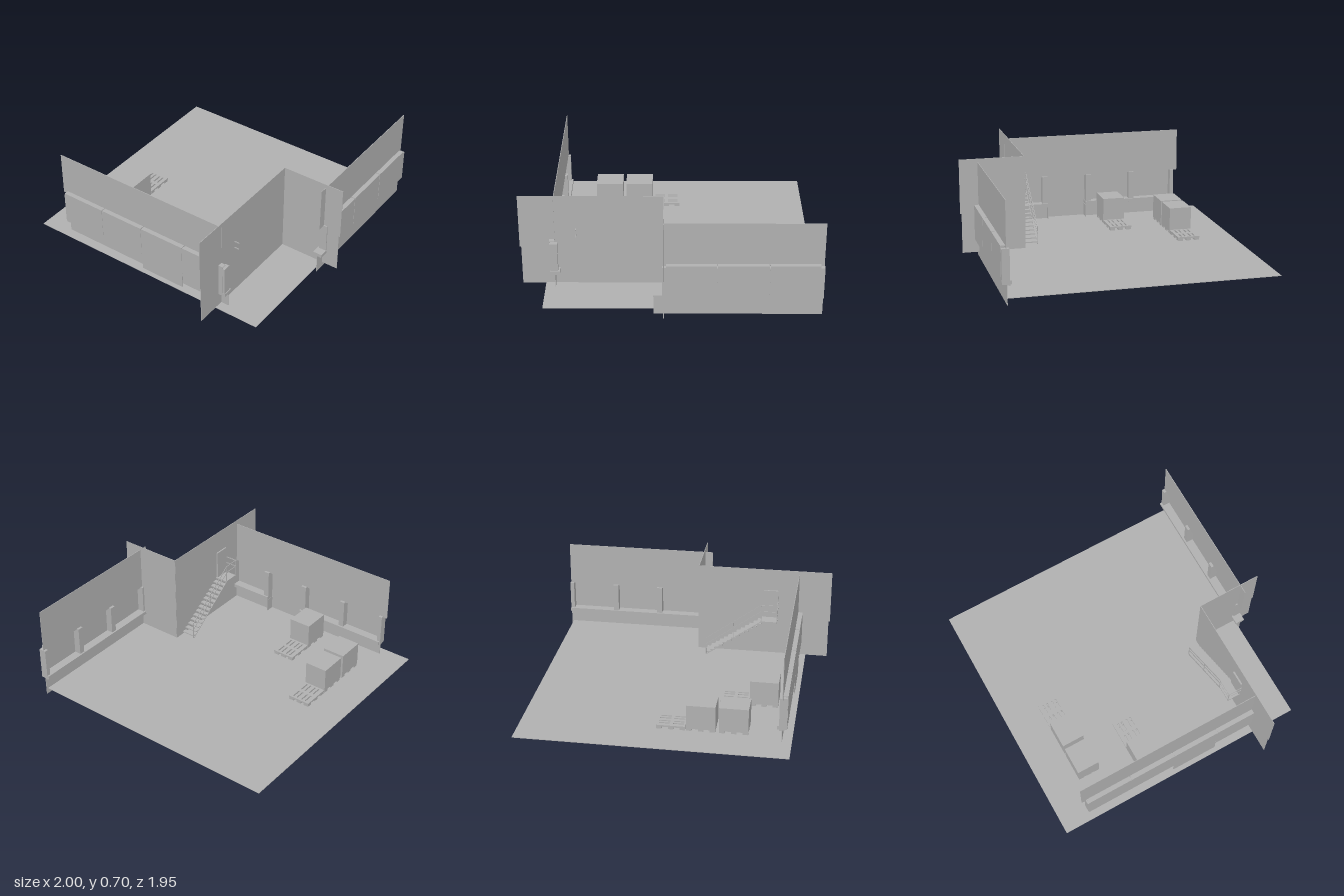
import * as THREE from 'three';

const grey = new THREE.MeshStandardMaterial({ color: 0xb0b0b0, side: THREE.DoubleSide });
grey.name = 'plain grey';

// Box given by its limits on each axis
function box(parent, name, x0, x1, y0, y1, z0, z1) {
  const m = new THREE.Mesh(new THREE.BoxGeometry(x1 - x0, y1 - y0, z1 - z0), grey);
  m.position.set((x0 + x1) / 2, (y0 + y1) / 2, (z0 + z1) / 2);
  m.name = name;
  parent.add(m);
  return m;
}

function group(parent, name) {
  const g = new THREE.Group();
  g.name = name;
  parent.add(g);
  return g;
}

const T = 0.002; // half thickness of sheet walls

// Post with a bottom that slopes down towards the room
function post(parent, x0, x1) {
  const s = new THREE.Shape();
  s.moveTo(-0.02, 0.125);
  s.lineTo(0.032, 0.14);
  s.lineTo(0.032, 0.365);
  s.lineTo(-0.02, 0.365);
  s.closePath();
  const geo = new THREE.ExtrudeGeometry(s, { depth: x1 - x0, bevelEnabled: false });
  geo.rotateY(-Math.PI / 2); // profile x becomes outward z
  const m = new THREE.Mesh(geo, grey);
  m.position.x = x1;
  m.name = 'windowPost';
  parent.add(m);
}

// Pane standing proud of the wall, with a top return back to it
function pane(parent, name, x0, x1, y0) {
  box(parent, name, x0, x1, y0, 0.38, 0.029, 0.034);
  box(parent, name + 'Top', x0, x1, 0.375, 0.38, 0, 0.029);
}

// Lower wall and its sill
function plinth(parent, x0, x1) {
  box(parent, 'lowerWall', x0, x1, 0, 0.135, -T, T);
  box(parent, 'sill', x0, x1, 0.135, 0.16, -0.032, 0.033);
}

function pallet(parent, x, z) {
  const g = group(parent, 'pallet');
  const w = 0.195, d = 0.16;
  // slotted deck
  const s = new THREE.Shape();
  s.moveTo(-w / 2, -d / 2);
  s.lineTo(w / 2, -d / 2);
  s.lineTo(w / 2, d / 2);
  s.lineTo(-w / 2, d / 2);
  s.closePath();
  for (const hx of [-0.049, 0.046]) for (const hz of [-0.05, -0.021, 0.017, 0.046]) {
    const h = new THREE.Path();
    h.moveTo(hx - 0.036, hz - 0.006);
    h.lineTo(hx - 0.036, hz + 0.006);
    h.lineTo(hx + 0.036, hz + 0.006);
    h.lineTo(hx + 0.036, hz - 0.006);
    h.closePath();
    s.holes.push(h);
  }
  const geo = new THREE.ExtrudeGeometry(s, { depth: 0.012, bevelEnabled: false });
  geo.rotateX(-Math.PI / 2);
  const deck = new THREE.Mesh(geo, grey);
  deck.position.y = 0.058;
  deck.name = 'palletDeck';
  g.add(deck);
  // nine feet
  for (const fx of [-0.078, 0, 0.078]) for (const fz of [-0.06, 0, 0.06])
    box(g, 'palletFoot', fx - 0.018, fx + 0.018, 0.042, 0.058, fz - 0.018, fz + 0.018);
  g.position.set(x, 0, z);
  return g;
}

export function createModel() {
  const model = new THREE.Group();
  model.name = 'warehouseCorner';

  box(model, 'floor', -0.834, 0.985, 0.038, 0.042, -0.978, 0.842);

  // Inner partition walls
  box(model, 'partitionUpper', -1, -0.04, 0.32, 0.70, 0.52 - T, 0.52 + T);
  box(model, 'partitionLower', -0.99, -0.04, 0.04, 0.32, 0.52 - T, 0.52 + T);
  box(model, 'sideWallUpper', -0.04 - T, -0.04 + T, 0.32, 0.70, 0.52, 0.972);
  box(model, 'sideWallLower', -0.04 - T, -0.04 + T, 0.04, 0.32, 0.52, 0.962);

  // Front window wall
  const front = group(model, 'frontWindowWall');
  front.position.z = 0.842;
  box(front, 'upperWall', -0.097, 0.995, 0.36, 0.675, -T, T);
  plinth(front, -0.107, 0.998);
  for (const [a, b] of [[-0.05, -0.022], [0.286, 0.326], [0.624, 0.664], [0.97, 0.998]]) post(front, a, b);
  for (const [a, b] of [[-0.025, 0.303], [0.309, 0.64], [0.647, 0.972]]) pane(front, 'windowPane', a, b, 0.16);

  // Side window wall, running along z with its outside towards -x
  const side = group(model, 'sideWindowWall');
  side.position.x = -0.767;
  side.rotation.y = -Math.PI / 2;
  box(side, 'upperWall', -0.812, 0.525, 0.36, 0.672, -T, T);
  plinth(side, 0.205, 0.575);
  plinth(side, -0.775, -0.085);
  for (const e of [0.205, -0.085]) box(side, 'doorJamb', e - T, e + T, 0, 0.135, -0.032, 0.033);
  for (const [a, b] of [[0.54, 0.57], [0.205, 0.245], [-0.13, -0.09], [-0.465, -0.427], [-0.782, -0.755]])
    post(side, a, b);
  for (const [a, b] of [[0.232, 0.555], [-0.443, -0.115], [-0.775, -0.449]]) pane(side, 'windowPane', a, b, 0.16);
  pane(side, 'doorPanel', -0.109, 0.226, 0.042);

  // Door behind the partition, with landing and stair
  box(model, 'door', -0.62, -0.515, 0.332, 0.54, 0.506, 0.517);
  const stair = group(model, 'stair');
  box(stair, 'landing', -0.622, -0.508, 0.322, 0.332, 0.42, 0.518);
  const steps = 13, run = 0.4 / steps, rise = 0.29 / (steps + 1);
  for (let i = 0; i < steps; i++) {
    const x = -0.508 + i * run, y = 0.332 - (i + 1) * rise;
    box(stair, 'tread', x, x + run, y - 0.008, y, 0.42, 0.518);
  }
  // Handrails: level over the landing, then down the flight
  const drop = Math.atan2(0.29, 0.4), len = Math.hypot(0.29, 0.4);
  for (const h of [0, 0.08, 0.13]) {
    const y = 0.33 + h;
    const r = box(stair, 'slopingRail', -len / 2, len / 2, -0.003, 0.003, -0.002, 0.002);
    r.position.set(-0.308, y - 0.145, 0.418);
    r.rotation.z = -drop;
    if (h) {
      box(stair, 'landingRail', -0.622, -0.508, y - 0.003, y + 0.003, 0.416, 0.42);
      box(stair, 'endRail', -0.624, -0.62, y - 0.003, y + 0.003, 0.418, 0.56);
    }
  }
  for (const [x, y] of [[-0.622, 0.332], [-0.508, 0.332], [-0.308, 0.187], [-0.108, 0.042]])
    box(stair, 'railPost', x - 0.002, x + 0.002, y, y + 0.13, 0.416, 0.42);

  // Pallets, some carrying a crate
  for (const [x, z, loaded] of [[-0.447, -0.643, true], [-0.228, -0.643, true], [-0.027, -0.643, false],
    [-0.608, -0.245, true], [-0.407, -0.245, false]]) {
    const p = pallet(model, x, z);
    if (loaded) box(p, 'crate', -0.0975, 0.0975, 0.07, 0.23, -0.08, 0.08);
  }
  return model;
}
